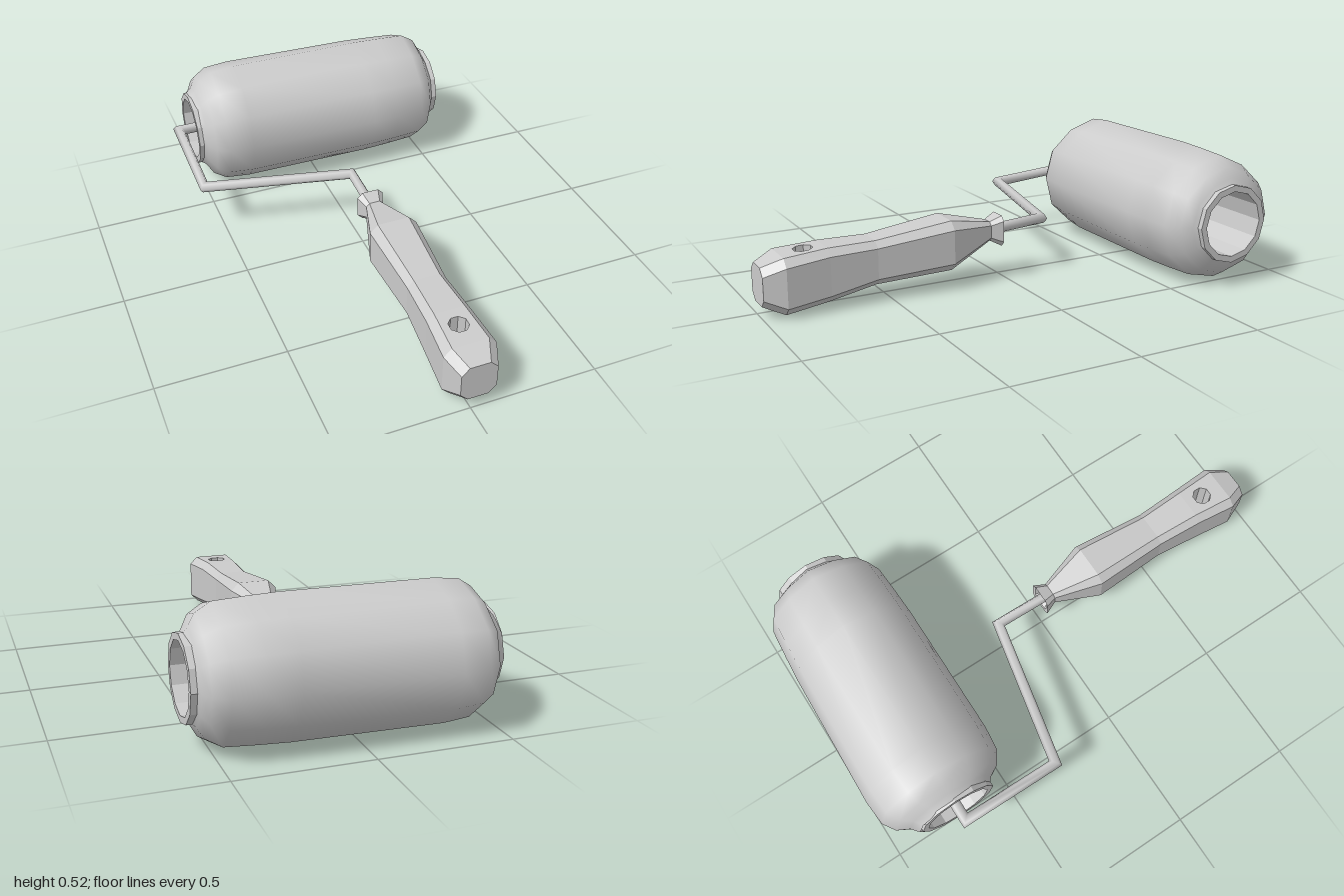
import * as THREE from 'three';

const grey = (opts = {}) => new THREE.MeshStandardMaterial({ color: 0xcccccc, ...opts });
const V = (x, y, z) => new THREE.Vector3(x, y, z);

// Skin a row of rings (counter-clockwise about the direction of travel).
function loft(rings, { caps = true, skip = () => false } = {}) {
  const n = rings[0].length, pos = [], idx = [];
  rings.forEach(r => r.forEach(p => pos.push(p.x, p.y, p.z)));
  for (let i = 0; i < rings.length - 1; i++) {
    for (let j = 0; j < n; j++) {
      if (skip(i, j)) continue;
      const k = (j + 1) % n;
      const a = i * n + j, b = i * n + k, c = a + n, d = b + n;
      idx.push(a, b, d, a, d, c);
    }
  }
  if (caps) {
    const e = (rings.length - 1) * n;
    for (let j = 1; j < n - 1; j++) idx.push(0, j + 1, j, e, e + j, e + j + 1);
  }
  const g = new THREE.BufferGeometry();
  g.setAttribute('position', new THREE.Float32BufferAttribute(pos, 3));
  g.setIndex(idx);
  g.computeVertexNormals();
  return g;
}

function add(parent, name, geometry, material) {
  const m = new THREE.Mesh(geometry, material);
  m.name = name;
  parent.add(m);
  return m;
}

const AXIS = { y: 0.257, z: -0.72 };   // roller axis, along x
const CX = 0.027;                      // handle centre line

// Soft, slightly uneven sleeve
function sleeveGeometry() {
  const radii = [0.264, 0.255, 0.262, 0.262, 0.264, 0.26, 0.254, 0.258, 0.26, 0.264, 0.262, 0.25];
  const profile = [[-0.515, 0.57], [-0.485, 0.66], [-0.46, 0.83], [-0.41, 0.95], [-0.31, 0.99],
    [0.25, 1.0], [0.36, 0.985], [0.48, 0.96], [0.535, 0.83], [0.558, 0.67], [0.575, 0.57]];
  return loft(profile.map(([x, f]) => radii.map((r, i) => {
    const a = i * Math.PI / 6, s = Math.sin(a);
    const rr = f * (r + 0.035 * x * Math.min(0, s));
    return V(x, AXIS.y + rr * Math.cos(a), AXIS.z - 0.005 + rr * s);
  })), { caps: false });
}

// Bent wire with mitred corners and a hexagonal section
function rodGeometry(path, radius) {
  const up = V(0, 1, 0);
  const rings = path.map((p, i) => {
    const before = i > 0 ? p.clone().sub(path[i - 1]).setY(0).normalize() : null;
    const after = i < path.length - 1 ? path[i + 1].clone().sub(p).setY(0).normalize() : null;
    const dir = (before || after).clone().add(after || before).normalize();
    const stretch = 1 / dir.dot(before || after);
    const side = up.clone().cross(dir);
    return Array.from({ length: 6 }, (_, j) => {
      const a = j * Math.PI / 3;
      return p.clone().addScaledVector(side, radius * stretch * Math.cos(a))
        .addScaledVector(up, radius * Math.sin(a));
    });
  });
  return loft(rings);
}

// Chamfered grip: z, half width, bottom, top, chamfer
const STATIONS = [
  [0.045, 0.028, 0.17, 0.23, 0.012],
  [0.015, 0.04, 0.15, 0.25, 0.015],
  [0.012, 0.054, 0.135, 0.26, 0.02],
  [0.06, 0.036, 0.16, 0.238, 0.014],
  [0.25, 0.097, 0.08, 0.278, 0.032],
  [0.56, 0.078, 0.068, 0.24, 0.026],
  [0.75, 0.088, 0.035, 0.241, 0.028],
  [0.92, 0.102, 0.015, 0.23, 0.031],
  [1.0, 0.07, 0.05, 0.198, 0.03],
];
const HOLE = { z: 0.825, r: 0.038, sides: 8, segment: 6 };

function gripGeometry() {
  const rings = STATIONS.map(([z, w, lo, hi, c]) => [
    [w, lo + c], [w, hi - c], [w - c, hi], [c - w, hi],
    [-w, hi - c], [-w, lo + c], [c - w, lo], [w - c, lo],
  ].map(([x, y]) => V(CX + x, y, z)));
  // top and bottom faces around the hanging hole are built separately
  return loft(rings, { skip: (i, j) => i === HOLE.segment && (j === 2 || j === 6) });
}

function holeHeight(z, k) {
  const a = STATIONS[HOLE.segment], b = STATIONS[HOLE.segment + 1];
  return THREE.MathUtils.mapLinear(z, a[0], b[0], a[k], b[k]);
}

function holeLoop() {
  return Array.from({ length: HOLE.sides }, (_, i) => {
    const a = (i + 0.5) / HOLE.sides * Math.PI * 2;
    return new THREE.Vector2(CX + HOLE.r * Math.cos(a), HOLE.z + HOLE.r * Math.sin(a));
  });
}

// Flat face with a hole, laid at the top (k = 3) or bottom (k = 2) of the grip
function holedFace(k) {
  const [a, b] = [STATIONS[HOLE.segment], STATIONS[HOLE.segment + 1]];
  const wa = a[1] - a[4], wb = b[1] - b[4];
  const shape = new THREE.Shape([[-wa, a[0]], [wa, a[0]], [wb, b[0]], [-wb, b[0]]]
    .map(([x, z]) => new THREE.Vector2(CX + x, z)));
  shape.holes.push(new THREE.Path(holeLoop()));
  const g = new THREE.ShapeGeometry(shape);
  const p = g.attributes.position;
  for (let i = 0; i < p.count; i++) {
    const z = p.getY(i);
    p.setXYZ(i, p.getX(i), holeHeight(z, k), z);
  }
  g.computeVertexNormals();
  return g;
}

export function createModel() {
  const model = new THREE.Group();
  model.name = 'paintRoller';
  const smooth = grey();
  const smoothOpen = grey({ side: THREE.DoubleSide });
  const flat = grey({ flatShading: true });
  const flatOpen = grey({ flatShading: true, side: THREE.DoubleSide });

  // Roller: sleeve on a hollow core, with a wall and hub inside
  const roller = new THREE.Group();
  roller.name = 'roller';
  model.add(roller);
  add(roller, 'sleeve', sleeveGeometry(), smoothOpen);

  const coreProfile = [[0.13, -0.52], [0.155, -0.52], [0.155, 0.59], [0.13, 0.59], [0.13, -0.52]];
  const core = add(roller, 'core', new THREE.LatheGeometry(
    coreProfile.map(([r, y]) => new THREE.Vector2(r, y)), 12), flatOpen);
  core.rotation.z = -Math.PI / 2;
  core.position.set(0, AXIS.y, AXIS.z);

  const wall = add(roller, 'innerWall', new THREE.CircleGeometry(0.132, 12), flatOpen);
  wall.rotation.y = Math.PI / 2;
  wall.position.set(0.03, AXIS.y, AXIS.z);

  const hub = add(roller, 'hub', new THREE.CylinderGeometry(0.043, 0.043, 0.12, 6), flat);
  hub.rotation.z = -Math.PI / 2;
  hub.position.set(0.03, AXIS.y, AXIS.z);

  // Wire frame from the handle to the roller axis
  add(model, 'rod', rodGeometry([
    V(CX, 0.197, 0.08), V(CX, 0.215, -0.19), V(-0.573, 0.224, -0.315),
    V(-0.573, AXIS.y, AXIS.z), V(0.05, AXIS.y, AXIS.z),
  ], 0.021), smooth);

  // Handle with hanging hole
  const handle = new THREE.Group();
  handle.name = 'handle';
  model.add(handle);
  add(handle, 'grip', gripGeometry(), flat);
  add(handle, 'gripTop', holedFace(3), flatOpen);
  add(handle, 'gripBottom', holedFace(2), flatOpen);
  const rims = [2, 3].map(k => holeLoop().map(p => V(p.x, holeHeight(p.y, k), p.y)));
  add(handle, 'hangingHole', loft(rims, { caps: false }), flatOpen);

  return model;
}
